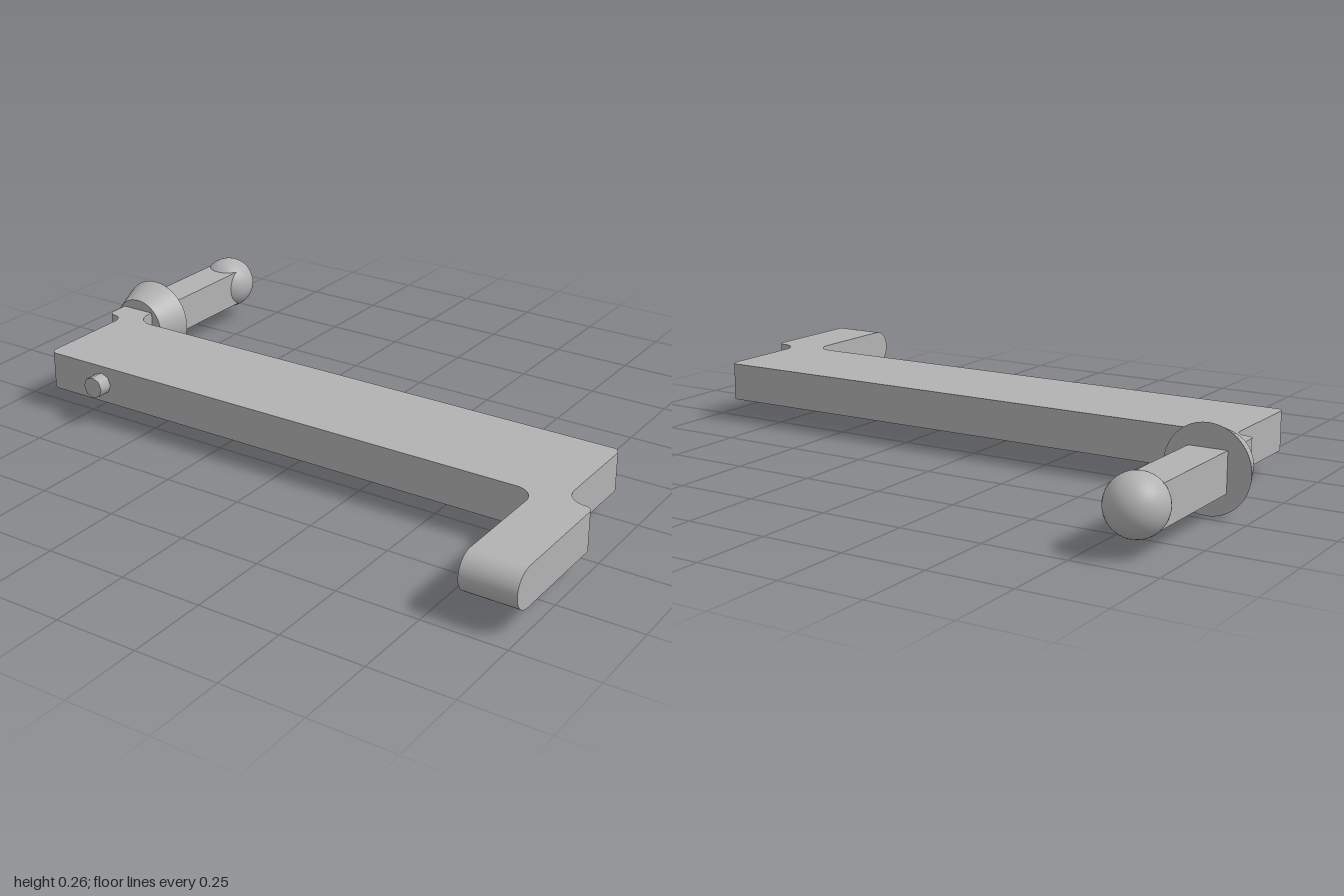
import * as THREE from 'three';
import { toCreasedNormals } from 'three/addons/utils/BufferGeometryUtils.js';

const MID = 0.128;   // height of the centre line
const HALF = 0.059;  // half thickness of the flat bar
const POST_X = -0.872;

// Closed outline from [x, z, corner radius] points, drawn with y = -z
function roundedOutline(points) {
  const p = points.map(([x, z, r]) => ({ v: new THREE.Vector2(x, -z), r }));
  const shape = new THREE.Shape();
  const K = 0.5523;
  p.forEach(({ v, r }, i) => {
    const prev = p[(i + p.length - 1) % p.length].v;
    const next = p[(i + 1) % p.length].v;
    const toPrev = prev.clone().sub(v).normalize();
    const toNext = next.clone().sub(v).normalize();
    const a = v.clone().addScaledVector(toPrev, r);
    const b = v.clone().addScaledVector(toNext, r);
    if (i === 0) shape.moveTo(a.x, a.y); else shape.lineTo(a.x, a.y);
    if (r > 0) {
      const c1 = v.clone().addScaledVector(toPrev, r * (1 - K));
      const c2 = v.clone().addScaledVector(toNext, r * (1 - K));
      shape.bezierCurveTo(c1.x, c1.y, c2.x, c2.y, b.x, b.y);
    }
  });
  return shape;
}

export function createModel() {
  const model = new THREE.Group();
  const grey = new THREE.MeshStandardMaterial({ color: 0xb2b2b2 });
  grey.name = 'grey';

  const add = (name, geometry, x, y, z) => {
    const mesh = new THREE.Mesh(geometry, grey);
    mesh.name = name;
    mesh.position.set(x, y, z);
    model.add(mesh);
    return mesh;
  };

  // Flat crank bar: wide plate with a rear post and a front foot
  const outline = roundedOutline([
    [-0.93, -0.628, 0], [-0.93, -0.05, 0.022], [-0.87, -0.05, 0.038],
    [-0.87, 0.3, 0.025], [0.833, 0.3, 0.06], [0.833, 0.653, 0],
    [0.998, 0.653, 0], [0.998, 0.3, 0.025], [0.912, 0.3, 0.061],
    [0.912, -0.05, 0.025], [-0.815, -0.05, 0.06], [-0.815, -0.628, 0],
  ]);
  const bar = new THREE.ExtrudeGeometry(outline, { depth: HALF * 2, bevelEnabled: false, curveSegments: 10 });
  bar.rotateX(-Math.PI / 2);
  add('crankBar', toCreasedNormals(bar, 0.6), 0, MID - HALF, 0);

  // Half-round nose of the foot
  const nose = new THREE.CylinderGeometry(HALF, HALF, 0.165, 24, 1, false, 0, Math.PI);
  nose.rotateZ(Math.PI / 2);   // axis along x
  nose.rotateX(Math.PI / 2 * -1);
  nose.computeBoundingBox();
  if (nose.boundingBox.max.z < 0.01) nose.rotateX(Math.PI);
  add('footNose', nose, 0.9155, MID, 0.653);

  // Tapered collar, widest towards the rear
  const collar = new THREE.CylinderGeometry(0.092, 0.128, 0.095, 48);
  collar.rotateX(Math.PI / 2);
  add('collar', collar, POST_X, MID, -0.1775);

  // Ball at the end of the post
  add('ball', new THREE.SphereGeometry(0.086, 40, 24), POST_X, MID + 0.002, -0.628);

  // Small peg on the front edge
  const peg = new THREE.CylinderGeometry(0.034, 0.034, 0.06, 8);
  peg.rotateX(Math.PI / 2);
  add('peg', peg, -0.663, MID + 0.002, 0.313);

  return model;
}
